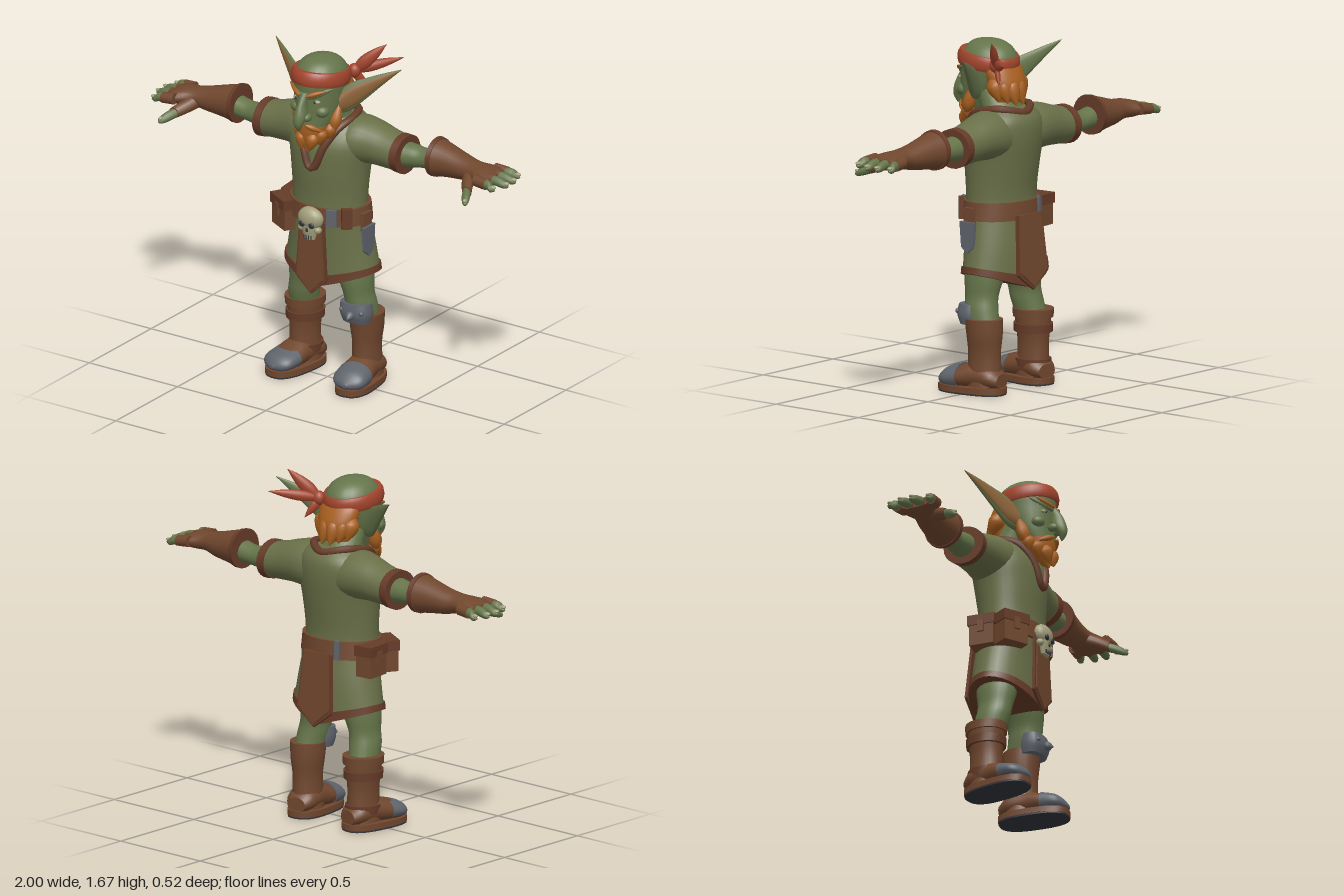
import * as THREE from 'three';

const mat = (name, color) => {
  const m = new THREE.MeshStandardMaterial({ color });
  m.name = name;
  return m;
};
const V = (x, y, z) => new THREE.Vector3(x, y, z);
const X = V(1, 0, 0), Y = V(0, 1, 0), Z = V(0, 0, 1);

export function createModel() {
  const skin = mat('green skin', 0x65754a), cloth = mat('olive tunic', 0x697048);
  const leather = mat('brown leather', 0x70472e), trim = mat('dark trim', 0x663b28);
  const hair = mat('orange hair', 0xa8601f), red = mat('red cloth', 0xa3452d);
  const metal = mat('grey metal', 0x5f646c), bone = mat('pale bone', 0xa39f7c);
  const dark = mat('dark sole', 0x30343a), inner = mat('inner ear', 0x8b6236);

  const model = new THREE.Group();
  model.name = 'goblin';
  const add = (name, m, geo, parent = model) => {
    const mesh = new THREE.Mesh(geo, m);
    mesh.name = name;
    parent.add(mesh);
    return mesh;
  };

  // Capped skin over elliptical rings [x, y, z, a, b] spanned by the axes u and v
  function loft(name, m, rings, u, v, { k = 4, n = 24, p = 1, parent = model } = {}) {
    const rows = [];
    for (let i = 0; i < rings.length - 1; i++) {
      const [r0, r1, r2, r3] = [-1, 0, 1, 2].map(d => rings[Math.min(Math.max(i + d, 0), rings.length - 1)]);
      for (let j = 0; j < k; j++) {
        const t = j / k;
        rows.push(r1.map((c, q) => {
          const cubic = 3 * (c - r2[q]) + r3[q] - r0[q];
          const square = 2 * r0[q] - 5 * c + 4 * r2[q] - r3[q];
          return c + 0.5 * t * (r2[q] - r0[q] + t * (square + t * cubic));
        }));
      }
    }
    rows.push(rings[rings.length - 1]);
    const pos = [], idx = [], pw = c => Math.sign(c) * Math.abs(c) ** p;
    const ring = r => {
      for (let j = 0; j < n; j++) {
        const a = j / n * Math.PI * 2;
        const q = V(r[0], r[1], r[2]).addScaledVector(u, r[3] * pw(Math.cos(a))).addScaledVector(v, r[4] * pw(Math.sin(a)));
        pos.push(q.x, q.y, q.z);
      }
    };
    rows.forEach(ring);
    for (let i = 0; i < rows.length - 1; i++) for (let j = 0; j < n; j++) {
      const a = i * n + j, b = i * n + (j + 1) % n;
      idx.push(a, b, a + n, b, b + n, a + n);
    }
    [rows[0], rows[rows.length - 1]].forEach((r, end) => {
      const s = pos.length / 3;
      ring(r);
      pos.push(r[0], r[1], r[2]);
      for (let j = 0; j < n; j++) {
        const a = s + j, b = s + (j + 1) % n;
        idx.push(s + n, ...(end ? [a, b] : [b, a]));
      }
    });
    // Turn the faces outward when the enclosed volume is negative
    const at = i => V(pos[3 * i], pos[3 * i + 1], pos[3 * i + 2]);
    let vol = 0;
    for (let i = 0; i < idx.length; i += 3) vol += at(idx[i]).dot(at(idx[i + 1]).cross(at(idx[i + 2])));
    if (vol < 0) idx.reverse();
    const g = new THREE.BufferGeometry();
    g.setAttribute('position', new THREE.Float32BufferAttribute(pos, 3));
    g.setIndex(idx);
    g.computeVertexNormals();
    return add(name, m, g, parent);
  }
  const loftY = (name, m, rings, o) => loft(name, m, rings, X, Z, o);
  const loftX = (name, m, rings, o) => loft(name, m, rings, Y, Z, o);
  // Pointed strand from a to b; f flattens it
  function strand(name, m, a, b, r, f = 1) {
    const A = V(...a), B = V(...b), d = B.clone().sub(A).normalize();
    const u = d.clone().cross(Math.abs(d.y) > 0.9 ? X : Y).normalize(), v = u.clone().cross(d);
    const rings = [[0, 0.5], [0.3, 1], [0.65, 0.75], [1, 0.04]].map(([t, w]) => [...A.clone().lerp(B, t).toArray(), r * w * f, r * w]);
    return loft(name, m, rings, u, v, { k: 3, n: 10 });
  }
  const ball = (name, m, p, s) => {
    const o = add(name, m, new THREE.SphereGeometry(1, 16, 12));
    o.position.set(...p);
    o.scale.set(...s);
  };
  const box = (name, m, p, s, ry = 0) => {
    const o = add(name, m, new THREE.BoxGeometry(...s));
    o.position.set(...p);
    o.rotation.y = ry;
  };
  const plate = (name, m, pts, depth, parent) => {
    const shape = new THREE.Shape(pts.map(q => new THREE.Vector2(...q)));
    return add(name, m, new THREE.ExtrudeGeometry(shape, { depth, bevelEnabled: false }), parent);
  };

  // Tunic and hem, raised toward the hips
  const raise = mesh => {
    const q = mesh.geometry.attributes.position;
    for (let i = 0; i < q.count; i++) {
      const y = q.getY(i);
      if (y < 0.7) q.setY(i, y + (Math.abs(q.getX(i)) - 0.15) * 2 * (0.7 - y));
    }
    mesh.geometry.computeVertexNormals();
  };
  raise(loftY('tunic', cloth, [[0, 0.55, -0.045, 0.245, 0.153], [0, 0.7, -0.04, 0.22, 0.15], [0, 0.86, -0.025, 0.193, 0.145],
    [0, 0.95, -0.025, 0.19, 0.145], [0, 1.08, -0.03, 0.2, 0.158], [0, 1.2, -0.04, 0.215, 0.163],
    [0, 1.28, -0.055, 0.19, 0.142], [0, 1.33, -0.055, 0.13, 0.105]], { n: 36 }));
  raise(loftY('tunicHem', trim, [[0, 0.54, -0.045, 0.253, 0.162], [0, 0.58, -0.045, 0.248, 0.16]], { k: 1, n: 36 }));
  const neckline = new THREE.CatmullRomCurve3([[0, 1.315, -0.165], [0.1, 1.335, -0.11], [0.125, 1.325, -0.03], [0.1, 1.29, 0.065],
    [0.055, 1.2, 0.118], [0.012, 1.1, 0.132], [-0.012, 1.1, 0.132], [-0.055, 1.2, 0.118], [-0.1, 1.29, 0.065],
    [-0.125, 1.325, -0.03], [-0.1, 1.335, -0.11]].map(q => V(...q)), true);
  add('collar', trim, new THREE.TubeGeometry(neckline, 64, 0.019, 8, true));
  loftY('chest', skin, [[0, 1.11, 0.125, 0.005, 0.006], [0, 1.2, 0.108, 0.042, 0.022], [0, 1.31, 0.04, 0.09, 0.06]]);
  loftY('neck', skin, [[0, 1.25, -0.06, 0.12, 0.09], [0, 1.34, -0.02, 0.1, 0.09], [0, 1.44, 0.04, 0.09, 0.09]]);

  // Belt, apron flaps and belt gear
  loftY('belt', leather, [[0, 0.815, -0.027, 0.212, 0.16], [0, 0.9, -0.025, 0.204, 0.157]], { k: 1, n: 36 });
  const flap = (w, h, e) => [[-w + 0.02 - e, 0], [-w - e, -h + 0.08 - e], [0, -h - e], [w + e, -h + 0.08 - e], [w - 0.02 + e, 0]];
  for (const [name, z, w, h, rx, off] of [['frontFlap', 0.117, 0.075, 0.365, -0.02, 0.006], ['backFlap', -0.197, 0.095, 0.345, 0.08, -0.006]]) {
    const g = new THREE.Group();
    g.name = name;
    g.position.set(0, 0.84, z);
    g.rotation.x = rx;
    model.add(g);
    plate(name + 'Border', trim, flap(w, h, 0.012), 0.014, g);
    plate(name + 'Panel', leather, flap(w, h, 0), 0.014, g).position.z = off;
  }
  ball('skullCranium', bone, [0, 0.845, 0.135], [0.068, 0.056, 0.042]);
  loftY('skullJaw', bone, [[0, 0.745, 0.145, 0.03, 0.016], [0, 0.79, 0.142, 0.042, 0.026], [0, 0.83, 0.14, 0.05, 0.03]], { n: 16 });
  for (const s of [1, -1]) {
    ball('skullSocket', dark, [s * 0.027, 0.822, 0.171], [0.016, 0.014, 0.008]);
    ball('skullCheek', bone, [s * 0.045, 0.795, 0.142], [0.018, 0.018, 0.02]);
  }
  ball('skullNose', dark, [0, 0.796, 0.168], [0.007, 0.012, 0.006]);
  for (let i = -2; i < 2; i++) box('toothGap', dark, [i * 0.013 + 0.0065, 0.757, 0.163], [0.003, 0.02, 0.006]);
  box('beltBuckle', metal, [0.105, 0.86, 0.118], [0.05, 0.085, 0.02], 0.4);
  box('beltStrap', trim, [0.165, 0.86, 0.08], [0.05, 0.1, 0.025], 0.75);
  box('rearBuckle', metal, [-0.1, 0.86, -0.166], [0.025, 0.09, 0.02], 0.25);
  const blade = plate('hipBlade', metal, [[-0.045, 0.15], [-0.035, 0.03], [0, 0], [0.035, 0.03], [0.045, 0.15]], 0.016);
  blade.position.set(0.216, 0.66, -0.01);
  blade.rotation.y = Math.PI / 2;
  box('bladeHanger', leather, [0.21, 0.83, -0.01], [0.02, 0.09, 0.06]);
  for (const [x, z, w, d, ry] of [[-0.185, 0.065, 0.13, 0.09, -0.5], [-0.215, -0.06, 0.085, 0.12, 0.1]]) {
    box('pouch', leather, [x, 0.81, z], [w, 0.135, d], ry);
    box('pouchLid', trim, [x, 0.868, z], [w + 0.012, 0.05, d + 0.014], ry);
    box('pouchTab', leather, [x, 0.835, z], [ry < 0 ? 0.03 : w + 0.022, 0.06, ry < 0 ? d + 0.022 : 0.03], ry);
  }

  // Head and face
  loftY('head', skin, [[0, 1.26, 0.12, 0.05, 0.055], [0, 1.3, 0.11, 0.075, 0.08], [0, 1.36, 0.09, 0.1, 0.098], [0, 1.42, 0.07, 0.113, 0.12],
    [0, 1.48, 0.055, 0.12, 0.137], [0, 1.55, 0.05, 0.123, 0.142], [0, 1.6, 0.05, 0.1, 0.115], [0, 1.63, 0.054, 0.06, 0.07], [0, 1.641, 0.055, 0.004, 0.004]]);
  const band = loftY('headband', red, [[0, -0.034, 0, 0.128, 0.147], [0, -0.015, 0, 0.134, 0.154], [0, 0.015, 0, 0.133, 0.153], [0, 0.034, 0, 0.125, 0.143]], { k: 2, n: 32 });
  band.position.set(0, 1.545, 0.052);
  band.rotation.x = -0.13;
  ball('bandKnot', red, [0.1, 1.54, -0.075], [0.03, 0.035, 0.03]);
  strand('bandTail', red, [0.1, 1.54, -0.075], [0.225, 1.672, -0.155], 0.032, 0.6);
  strand('bandTail', red, [0.1, 1.54, -0.075], [0.255, 1.58, -0.255], 0.026, 0.7);
  strand('bandTail', red, [0.09, 1.54, -0.07], [0.14, 1.45, -0.13], 0.022, 0.6);
  loftY('nose', skin, [[0, 1.495, 0.185, 0.02, 0.015], [0, 1.44, 0.205, 0.02, 0.032], [0, 1.39, 0.22, 0.03, 0.037],
    [0, 1.35, 0.237, 0.022, 0.022], [0, 1.315, 0.235, 0.004, 0.005]], { n: 16 });
  for (const s of [1, -1]) {
    ball('nostril', skin, [s * 0.027, 1.378, 0.2], [0.018, 0.02, 0.026]);
    ball('cheek', skin, [s * 0.068, 1.4, 0.142], [0.035, 0.03, 0.035]);
    ball('eye', bone, [s * 0.055, 1.453, 0.168], [0.02, 0.01, 0.014]);
    ball('pupil', dark, [s * 0.053, 1.453, 0.18], [0.006, 0.007, 0.005]);
    strand('browRidge', skin, [s * 0.012, 1.473, 0.195], [s * 0.115, 1.515, 0.12], 0.02);
    strand('eyebrow', hair, [s * 0.018, 1.482, 0.207], [s * 0.11, 1.515, 0.15], 0.011);
    // Long pointed ear with a coloured hollow
    const normal = V(s * 0.48, 0, 0.88);
    const ear = [[0.1, 1.425, 0.045, 0.06, 0.03], [0.15, 1.455, 0.02, 0.07, 0.022], [0.21, 1.497, -0.012, 0.052, 0.016],
      [0.28, 1.547, -0.05, 0.028, 0.011], [0.355, 1.597, -0.09, 0.002, 0.002]].map(([x, ...r]) => [s * x, ...r]);
    loft('ear', skin, ear, Y, normal, { n: 20 });
    const hollow = ear.map(([x, y, z, a, b]) => [x + normal.x * b * 0.45, y, z + normal.z * b * 0.45, a * 0.75, b * 0.75]);
    loft('earHollow', inner, hollow, Y, normal, { n: 20 });
    // Sideburns, beard locks and hair locks
    strand('sideburn', hair, [s * 0.1, 1.3, 0.1], [s * 0.112, 1.43, 0.06], 0.03);
    strand('moustache', hair, [s * 0.015, 1.335, 0.2], [s * 0.085, 1.3, 0.15], 0.014);
    for (let i = 0; i < 3; i++) {
      strand('beardLock', hair, [s * (0.085 - i * 0.025), 1.33 - i * 0.02, 0.1 + i * 0.03], [s * (0.085 - i * 0.032), 1.25 - i * 0.025, 0.11 + i * 0.035], 0.032);
      strand('hairLock', hair, [s * (0.02 + i * 0.033), 1.47, -0.08 + i * 0.018], [s * (0.025 + i * 0.033), 1.345 + i * 0.012, -0.14 + i * 0.025], 0.04);
    }
  }
  loftY('beard', hair, [[0, 1.19, 0.165, 0.005, 0.005], [0, 1.23, 0.14, 0.04, 0.04], [0, 1.28, 0.12, 0.075, 0.07], [0, 1.325, 0.11, 0.09, 0.082]]);
  loftY('backHair', hair, [[0, 1.36, -0.06, 0.075, 0.05], [0, 1.43, -0.06, 0.1, 0.075], [0, 1.5, -0.035, 0.108, 0.075], [0, 1.54, -0.01, 0.1, 0.07]]);

  for (const s of [1, -1]) {
    const mx = rings => rings.map(([x, ...r]) => [s * x, ...r]);
    // Sleeve, arm and gauntlet
    loftX('sleeve', cloth, mx([[0.06, 1.2, -0.055, 0.12, 0.125], [0.15, 1.215, -0.06, 0.115, 0.125], [0.23, 1.213, -0.068, 0.104, 0.11],
      [0.31, 1.2, -0.07, 0.093, 0.1], [0.39, 1.19, -0.07, 0.086, 0.096]]));
    loftX('sleeveTrim', trim, mx([[0.365, 1.193, -0.07, 0.092, 0.102], [0.405, 1.19, -0.07, 0.093, 0.104]]), { k: 1 });
    loftX('arm', skin, mx([[0.36, 1.19, -0.07, 0.065, 0.07], [0.44, 1.19, -0.078, 0.055, 0.058], [0.5, 1.19, -0.085, 0.047, 0.052], [0.6, 1.205, -0.085, 0.056, 0.058]]));
    loftX('gauntlet', leather, mx([[0.56, 1.21, -0.09, 0.092, 0.094], [0.63, 1.207, -0.088, 0.078, 0.078], [0.72, 1.2, -0.082, 0.06, 0.066],
      [0.79, 1.2, -0.072, 0.046, 0.062], [0.85, 1.197, -0.066, 0.042, 0.088], [0.89, 1.195, -0.063, 0.032, 0.098], [0.91, 1.193, -0.063, 0.02, 0.09]]));
    loftX('gauntletCuff', trim, mx([[0.553, 1.212, -0.09, 0.095, 0.097], [0.575, 1.21, -0.09, 0.093, 0.094]]), { k: 1 });
    for (const [z0, z1, tip] of [[-0.145, -0.163, 0.975], [-0.09, -0.1, 0.995], [-0.035, -0.04, 0.995], [0.02, 0.034, 0.97]]) {
      const mid = (z0 + z1) / 2;
      loftX('fingerCover', leather, mx([[0.85, 1.2, z0, 0.028, 0.027], [0.915, 1.195, mid, 0.026, 0.025]]), { n: 12 });
      loftX('finger', skin, mx([[0.86, 1.2, z0, 0.022, 0.023], [0.93, 1.195, mid, 0.023, 0.022], [tip - 0.02, 1.185, z1, 0.018, 0.018], [tip, 1.18, z1, 0.004, 0.004]]), { n: 12 });
      ball('fingernail', bone, [s * (tip - 0.012), 1.193, z1], [0.017, 0.008, 0.012]);
    }
    loft('thumbCover', leather, mx([[0.77, 1.19, -0.05, 0.035, 0.035], [0.805, 1.165, 0.02, 0.032, 0.03], [0.83, 1.148, 0.06, 0.027, 0.026]]), X, Y, { n: 14 });
    loft('thumb', skin, mx([[0.82, 1.152, 0.04, 0.023, 0.022], [0.845, 1.135, 0.09, 0.023, 0.022], [0.86, 1.122, 0.12, 0.015, 0.015], [0.865, 1.118, 0.132, 0.004, 0.004]]), X, Y, { n: 12 });
    ball('thumbnail', bone, [s * 0.862, 1.133, 0.12], [0.011, 0.008, 0.014]);

    // Leg
    loftY('leg', skin, mx([[0.1, 0.68, -0.04, 0.095, 0.12], [0.135, 0.54, -0.035, 0.08, 0.1], [0.152, 0.46, -0.035, 0.067, 0.085],
      [0.162, 0.4, -0.042, 0.07, 0.083], [0.17, 0.33, -0.06, 0.066, 0.08]]));

    // Boot, turned slightly outward
    const boot = new THREE.Group();
    boot.name = 'boot';
    boot.position.set(s * 0.175, 0, -0.07);
    boot.rotation.y = s * 0.14;
    model.add(boot);
    const o = { parent: boot }, flat = { k: 1, p: 0.75, n: 32, parent: boot };
    loftY('bootShaft', leather, [[0, 0.04, 0, 0.075, 0.085], [0, 0.12, 0, 0.068, 0.082], [0, 0.2, 0, 0.067, 0.08], [0, 0.28, 0, 0.078, 0.087], [0, 0.355, 0.005, 0.083, 0.092]], o);
    loft('bootFoot', leather, [[0, 0.065, -0.095, 0.05, 0.035], [0, 0.08, -0.05, 0.075, 0.055], [0, 0.085, 0.04, 0.075, 0.065],
      [0, 0.075, 0.11, 0.083, 0.055], [0, 0.065, 0.18, 0.08, 0.042], [0, 0.055, 0.225, 0.04, 0.02]], X, Y, o);
    const cap = s > 0 ? 1.06 : 0.9;
    loft('toeCap', metal, [[0, 0.075, 0.115, 0.086, 0.058 * cap], [0, 0.067, 0.18, 0.084, 0.047 * cap], [0, 0.06, 0.215, 0.06, 0.03], [0, 0.055, 0.236, 0.012, 0.008]], X, Y, o);
    loftY('bootSole', leather, [[0, 0.008, 0.065, 0.088, 0.172], [0, 0.036, 0.065, 0.088, 0.172]], flat);
    loftY('soleTread', dark, [[0, 0, 0.065, 0.086, 0.17], [0, 0.008, 0.065, 0.086, 0.17]], flat);
    if (s < 0) for (const [y, r, m] of [[0.335, 0.09, leather], [0.265, 0.086, trim], [0.1, 0.078, trim]])
      loftY('bootStrap', m, [[0, y - 0.02, 0, r, r + 0.01], [0, y + 0.02, 0, r + 0.002, r + 0.012]], { k: 1, parent: boot });
  }

  // Spiked guard on the left knee
  loftY('kneeGuard', metal, [[0.168, 0.325, 0, 0.07, 0.05], [0.168, 0.37, 0.005, 0.08, 0.06], [0.165, 0.42, 0.005, 0.076, 0.052]], { p: 0.8 });
  strand('kneeSpike', metal, [0.17, 0.375, 0.05], [0.18, 0.362, 0.098], 0.022);
  for (const x of [0.115, 0.225]) ball('kneeRivet', metal, [x, 0.385, 0.05], [0.012, 0.012, 0.012]);
  return model;
}
